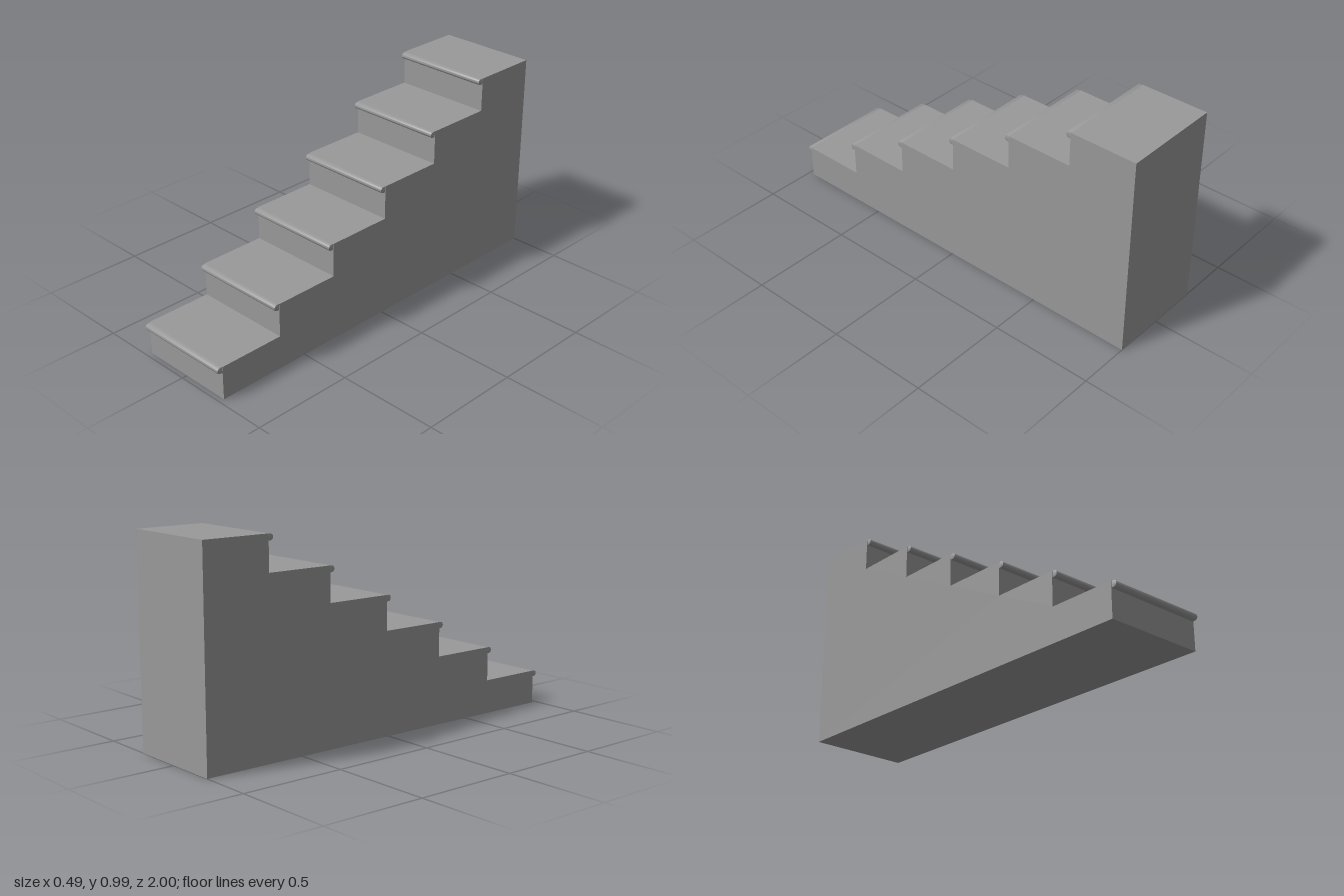
import * as THREE from 'three';
import { toCreasedNormals } from 'three/addons/utils/BufferGeometryUtils.js';

const STEPS = 6;
const RISE = 0.1645;      // height of one step
const RUN = 0.329;        // depth of one step
const FIRST_RISER = 0.974;
const BACK = -1;
const WIDTH = 0.494;
const NOSE_WIDTH = 0.49;
const NOSE_HEIGHT = 0.031;
const NOSE_DEPTH = 0.026;

// Extrudes a side profile drawn in (z, y) across x, centred on x = 0
function extrudeAcross(shape, width, bevel = 0) {
  const geometry = new THREE.ExtrudeGeometry(shape, {
    depth: width - 2 * bevel,
    curveSegments: 10,
    bevelEnabled: bevel > 0,
    bevelThickness: bevel,
    bevelSize: bevel,
    bevelOffset: -bevel,
    bevelSegments: 2,
  });
  geometry.translate(0, 0, -(width - 2 * bevel) / 2);
  geometry.rotateY(-Math.PI / 2);
  return geometry;
}

export function createModel() {
  const group = new THREE.Group();
  group.name = 'staircase';
  const stone = new THREE.MeshStandardMaterial({ color: 0x999999 });
  stone.name = 'grey stone';

  // Solid stepped body
  const profile = new THREE.Shape();
  profile.moveTo(BACK, 0);
  profile.lineTo(FIRST_RISER, 0);
  for (let i = 0; i < STEPS; i++) {
    const riser = FIRST_RISER - i * RUN;
    profile.lineTo(riser, (i + 1) * RISE);
    profile.lineTo(i === STEPS - 1 ? BACK : riser - RUN, (i + 1) * RISE);
  }
  const body = new THREE.Mesh(extrudeAcross(profile, WIDTH), stone);
  body.name = 'steppedBody';
  group.add(body);

  // Bullnose lip, its back tucked just inside the riser
  const r = NOSE_HEIGHT / 2;
  const nose = new THREE.Shape();
  nose.moveTo(-0.005, -NOSE_HEIGHT);
  nose.lineTo(NOSE_DEPTH - r, -NOSE_HEIGHT);
  nose.absarc(NOSE_DEPTH - r, -r, r, -Math.PI / 2, Math.PI / 2, false);
  nose.lineTo(-0.005, 0);
  const noseGeometry = toCreasedNormals(extrudeAcross(nose, NOSE_WIDTH, 0.003), 0.6);

  for (let i = 0; i < STEPS; i++) {
    const lip = new THREE.Mesh(noseGeometry, stone);
    lip.name = `stepNosing${i + 1}`;
    lip.position.set(0, (i + 1) * RISE, FIRST_RISER - i * RUN);
    group.add(lip);
  }
  return group;
}
